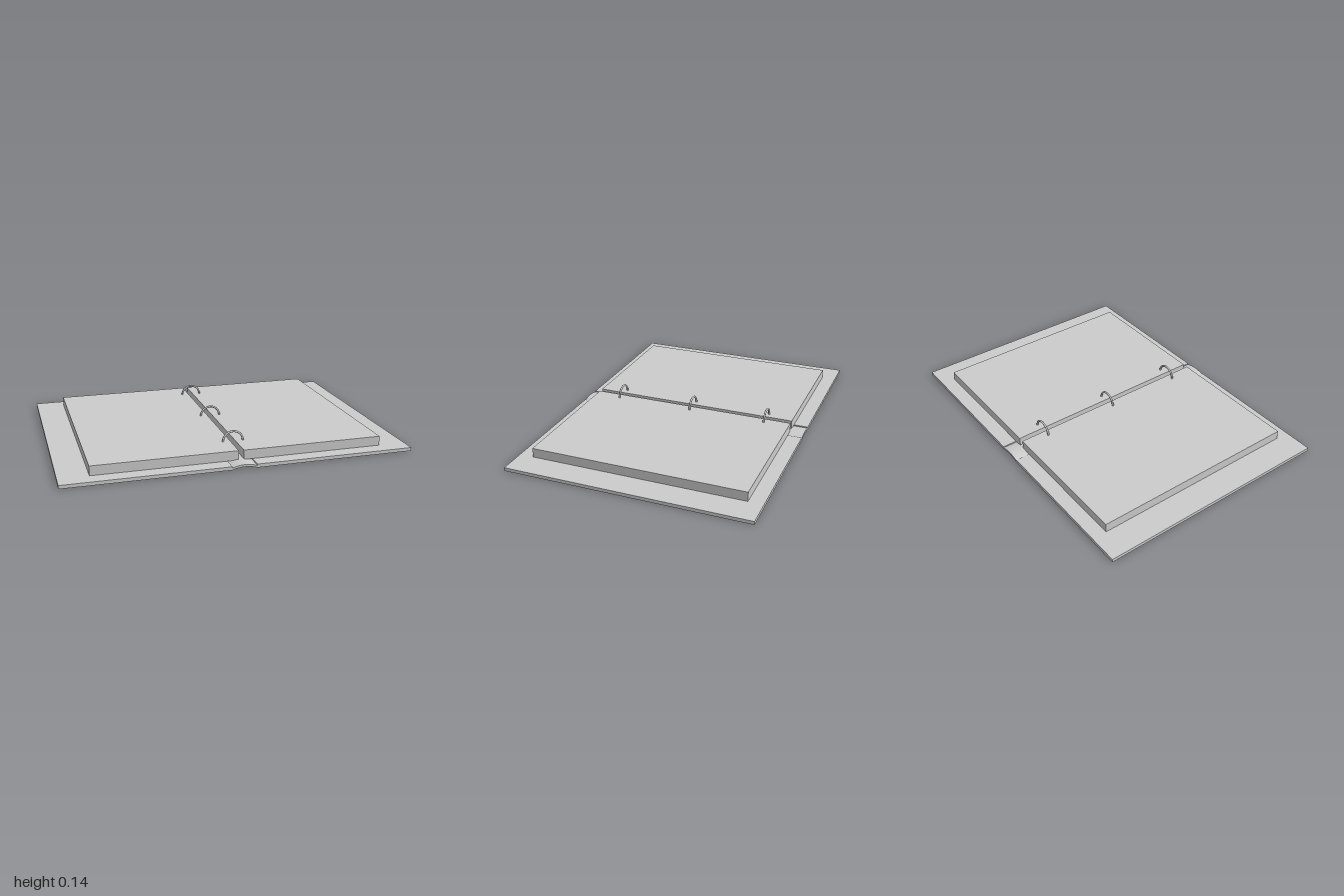
import * as THREE from 'three';
import { toCreasedNormals } from 'three/addons/utils/BufferGeometryUtils.js';

export function createModel() {
  const group = new THREE.Group();
  const material = new THREE.MeshStandardMaterial({ color: 0xcccccc });

  const add = (name, geometry) => {
    const mesh = new THREE.Mesh(geometry, material);
    mesh.name = name;
    group.add(mesh);
    return mesh;
  };

  // Box given by its x and y limits and its depth, centred on z = 0
  const slab = (name, x0, x1, y0, y1, depth) =>
    add(name, new THREE.BoxGeometry(x1 - x0, y1 - y0, depth))
      .position.set((x0 + x1) / 2, (y0 + y1) / 2, 0);

  // Open covers
  slab('rightCover', -1, -0.073, 0, 0.02, 1.43);
  slab('leftCover', 0.07, 1, 0, 0.02, 1.43);

  // Page stacks, with a narrow gap between them
  slab('rightPages', -0.83, -0.01, 0.02, 0.075, 1.26);
  slab('leftPages', 0.02, 0.84, 0.02, 0.075, 1.26);

  // Spine: a thin strip arched upward between the covers
  const spine = new THREE.Shape();
  spine.moveTo(-0.075, 0);
  spine.quadraticCurveTo(0, 0.024, 0.072, 0);
  spine.lineTo(0.072, 0.012);
  spine.quadraticCurveTo(0, 0.038, -0.075, 0.012);
  const strip = new THREE.ExtrudeGeometry(spine, { depth: 1.43, bevelEnabled: false, curveSegments: 12 });
  strip.translate(0, 0, -0.715);
  add('spine', toCreasedNormals(strip, 0.6));

  // Binder rings: half hoops whose ends sink into the pages
  const sink = 0.3;
  const hoop = new THREE.TorusGeometry(0.059, 0.006, 12, 32, Math.PI + 2 * sink);
  hoop.rotateZ(-sink);
  for (const z of [0.468, -0.006, -0.478]) add('ring', hoop).position.set(0.007, 0.072, z);

  return group;
}
